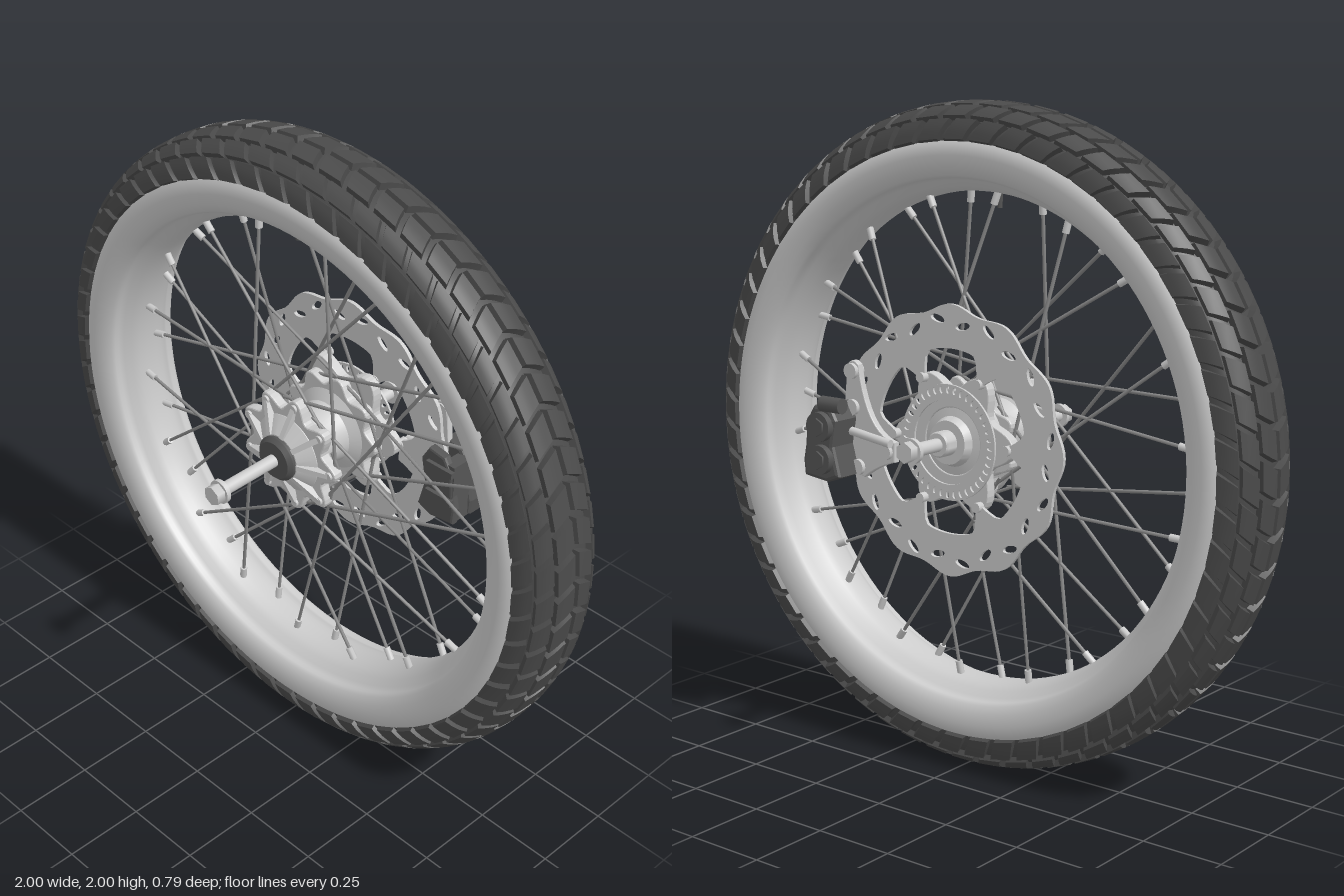
import * as THREE from 'three';
import { mergeGeometries, toCreasedNormals } from 'three/addons/utils/BufferGeometryUtils.js';

const grey = new THREE.MeshStandardMaterial({ color: 0xcccccc });
const rubber = new THREE.MeshStandardMaterial({ color: 0x4a4a4a });
const dark = new THREE.MeshStandardMaterial({ color: 0x555555 });
const steel = new THREE.MeshStandardMaterial({ color: 0x8a8a8a });
const TAU = Math.PI * 2;
const V = (x, y, z) => new THREE.Vector3(x, y, z);

function add(parent, name, geo, mat = grey, x = 0, y = 0, z = 0) {
  const m = new THREE.Mesh(geo, mat);
  m.name = name;
  m.position.set(x, y, z);
  parent.add(m);
  return m;
}

// Revolve [radius, z] points about the z axis (rising z faces outward)
function turned(points, segments = 48, crease = 0.6) {
  const g = new THREE.LatheGeometry(points.map(([r, z]) => new THREE.Vector2(r, z)), segments);
  return toCreasedNormals(g.rotateX(Math.PI / 2), crease);
}

// Cylinder along z between two depths
function rod(r, z0, z1, sides = 24) {
  return new THREE.CylinderGeometry(r, r, z1 - z0, sides).rotateX(Math.PI / 2).translate(0, 0, (z0 + z1) / 2);
}

// Rod between two arbitrary points
function strut(a, b, r, sides = 6) {
  const d = b.clone().sub(a);
  const q = new THREE.Quaternion().setFromUnitVectors(V(0, 1, 0), d.clone().normalize());
  const mid = a.clone().add(b).multiplyScalar(0.5);
  return new THREE.CylinderGeometry(r, r, d.length(), sides).applyQuaternion(q).translate(mid.x, mid.y, mid.z);
}

// Closed outline from a radius rule
function outline(rule, n, Type = THREE.Shape) {
  const pts = [];
  for (let i = 0; i < n; i++) {
    const a = (i / n) * TAU, r = rule(a);
    pts.push(new THREE.Vector2(r * Math.cos(a), r * Math.sin(a)));
  }
  return new Type(pts);
}

// Plate between two depths, with a small bevel
function plate(shape, z0, z1, bevel = 0) {
  return new THREE.ExtrudeGeometry(shape, {
    depth: z1 - z0 - 2 * bevel, bevelEnabled: bevel > 0, bevelSize: bevel, bevelThickness: bevel,
    bevelSegments: 2, bevelOffset: -bevel, curveSegments: 10,
  }).translate(0, 0, z0 + bevel);
}

const polygon = (pts) => new THREE.Shape(pts.map(([x, y]) => new THREE.Vector2(x, y)));

// Tyre cross-section: u runs -1..1 across, h is 0 on the carcass and 1 on the tread
function tyreSection(u, h) {
  const a = (u * Math.PI) / 2;
  const s = Math.pow(Math.abs(Math.sin(a)), 0.8) * Math.sign(a);
  const c = Math.pow(Math.max(0, Math.cos(a)), 0.8);
  return [0.87 + (0.109 + 0.02 * h) * c, (0.134 + 0.013 * h) * s];
}

// One tread block, bent on to the tyre and sheared into a chevron
function treadBlock(u0, u1, theta, span, shear) {
  const g = new THREE.BoxGeometry(1, 1, 1, 3, 1, 1);
  const p = g.attributes.position;
  for (let i = 0; i < p.count; i++) {
    const h = p.getY(i) + 0.5;
    const taper = 1 - 0.1 * h;
    const u = (u0 + u1) / 2 + p.getX(i) * (u1 - u0) * taper;
    const t = theta + p.getZ(i) * span * taper - shear * Math.abs(u);
    const [r, z] = tyreSection(u, h);
    p.setXYZ(i, r * Math.cos(t), r * Math.sin(t), z);
  }
  g.computeVertexNormals();
  return g;
}

function addTyre(wheel) {
  const section = [];
  for (let i = 0; i <= 28; i++) section.push(tyreSection(-1 + i / 14, 0));
  add(wheel, 'tyreCarcass', turned(section, 120, 1), rubber);
  const blocks = [], count = 60, pitch = TAU / count;
  for (let i = 0; i < count; i++) {
    const t = i * pitch;
    for (const [a, b, offset, span] of [[0.005, 0.27, 0, 0.84], [0.3, 0.59, 0.5, 0.86], [0.62, 0.95, 0.1, 0.82]]) {
      blocks.push(treadBlock(a, b, t + offset * pitch, span * pitch, 0.13));
      blocks.push(treadBlock(-b, -a, t + offset * pitch, span * pitch, 0.13));
    }
  }
  add(wheel, 'treadBlocks', mergeGeometries(blocks), rubber);
}

function addRim(wheel) {
  const half = [[0.89, 0.13], [0.875, 0.142], [0.845, 0.146], [0.81, 0.138], [0.787, 0.126], [0.779, 0.115],
    [0.781, 0.1], [0.772, 0.085], [0.755, 0.068], [0.744, 0.045], [0.738, 0.02]];
  const mirrored = half.map(([r, z]) => [r, -z]).reverse();
  add(wheel, 'rim', turned([...half, ...mirrored], 120, 1));
  add(wheel, 'valveStem', strut(V(-0.05, 0.75, 0.01), V(-0.047, 0.69, 0.01), 0.008, 10), dark);
}

// Crossed tangential spokes with nipples at the rim
function addSpokes(wheel, hubX, hubY) {
  const spokes = [], nipples = [];
  for (let i = 0; i < 36; i++) {
    const front = i % 2 === 0;
    const a = ((i + 0.5) / 36) * TAU;
    const b = a + (Math.floor(i / 2) % 2 ? 1 : -1) * 1.35;
    const r = front ? 0.175 : 0.165;
    const hub = V(hubX + r * Math.cos(b), hubY + r * Math.sin(b), front ? 0.075 : -0.105);
    const rim = V(0.745 * Math.cos(a), 0.745 * Math.sin(a), front ? 0.02 : -0.02);
    spokes.push(strut(hub, rim, 0.0055));
    nipples.push(strut(rim.clone().lerp(hub, 0.06), rim, 0.011, 8));
  }
  add(wheel, 'spokes', mergeGeometries(spokes), steel);
  add(wheel, 'spokeNipples', mergeGeometries(nipples));
}

function addHub(hub) {
  add(hub, 'hubBarrel', turned([[0, -0.2], [0.065, -0.2], [0.075, -0.175], [0.105, -0.17], [0.11, -0.15], [0.145, -0.145],
    [0.15, -0.1], [0.1, -0.07], [0.085, 0], [0.1, 0.05], [0.13, 0.07], [0.125, 0.09], [0.075, 0.125], [0, 0.125]]));
  const star = (r, k) => outline((a) => r + k * Math.cos(9 * a), 108);
  add(hub, 'frontFlange', plate(star(0.172, 0.024), 0.055, 0.088, 0.005));
  add(hub, 'backFlange', plate(star(0.168, 0.018), -0.125, -0.09, 0.005));
  // Raised ribs running out to each flange lobe
  const ribs = [], bolts = [];
  for (let i = 0; i < 9; i++) {
    const rib = plate(polygon([[0.06, 0.06], [0.185, 0.06], [0.18, 0.093], [0.075, 0.13]]), -0.008, 0.008);
    ribs.push(rib.rotateX(Math.PI / 2).rotateZ((i / 9) * TAU));
    const a = (i / 9) * TAU;
    bolts.push(rod(0.013, 0.08, 0.096, 10).translate(0.172 * Math.cos(a), 0.172 * Math.sin(a), 0));
  }
  add(hub, 'hubRibs', mergeGeometries(ribs));
  add(hub, 'flangeBosses', mergeGeometries(bolts));
  add(hub, 'frontSeal', turned([[0, 0.1], [0.07, 0.1], [0.072, 0.135], [0.06, 0.148], [0, 0.148]], 32), dark);

  // Axle with flanged nuts and spacer
  add(hub, 'axle', rod(0.02, -0.395, 0.395));
  add(hub, 'rearSpacer', turned([[0.02, -0.245], [0.034, -0.245], [0.038, -0.24], [0.038, -0.19], [0.05, -0.19], [0.05, -0.17]], 32));
  for (const s of [1, -1]) {
    const nut = new THREE.Group();
    nut.name = s > 0 ? 'frontNut' : 'rearNut';
    if (s < 0) nut.rotation.y = Math.PI;
    add(nut, 'nutFlange', rod(0.037, 0.352, 0.366, 32));
    add(nut, 'nutHex', rod(0.031, 0.366, 0.395, 6));
    hub.add(nut);
  }
}

function addDisc(hub) {
  // Wavy brake rotor with inward mounting tabs and slots
  const rotor = outline((a) => 0.394 + 0.01 * Math.cos(12 * a), 144);
  rotor.holes.push(outline((a) => 0.275 - 0.075 * Math.max(0, Math.cos(6 * a)) ** 3, 120, THREE.Path));
  for (let i = 0; i < 24; i++) {
    const a = ((i + 0.5) / 24) * TAU, r = i % 2 ? 0.362 : 0.345;
    const slot = new THREE.Path();
    slot.absellipse(r * Math.cos(a), r * Math.sin(a), 0.011, 0.026, 0, TAU, false, a + (i % 2 ? 0.35 : -0.35));
    rotor.holes.push(slot);
  }
  add(hub, 'brakeDisc', plate(rotor, -0.186, -0.174));

  // Carrier, slotted sensor ring and tab bolts
  const carrier = outline((a) => 0.185 + 0.035 * Math.cos(6 * a), 96);
  carrier.holes.push(outline(() => 0.1, 48, THREE.Path));
  add(hub, 'discCarrier', plate(carrier, -0.174, -0.14, 0.003));
  const ring = outline(() => 0.172, 72);
  ring.holes.push(outline(() => 0.125, 48, THREE.Path));
  for (let i = 0; i < 40; i++) {
    const a = (i / 40) * TAU, hole = new THREE.Path();
    hole.absellipse(0.155 * Math.cos(a), 0.155 * Math.sin(a), 0.011, 0.006, 0, TAU, false, a);
    ring.holes.push(hole);
  }
  add(hub, 'sensorRing', plate(ring, -0.197, -0.19));
  const bolts = [];
  for (let i = 0; i < 6; i++) {
    const a = (i / 6) * TAU;
    bolts.push(rod(0.015, -0.198, -0.17, 12).translate(0.208 * Math.cos(a), 0.208 * Math.sin(a), 0));
  }
  add(hub, 'discBolts', mergeGeometries(bolts));
}

function addCaliper(root) {
  const caliper = new THREE.Group();
  caliper.name = 'brakeCaliper';
  root.add(caliper);
  const body = polygon([[0.31, 0.89], [0.36, 0.87], [0.45, 0.88], [0.455, 0.93], [0.445, 0.98], [0.44, 1.05],
    [0.41, 1.1], [0.35, 1.11], [0.32, 1.06], [0.335, 0.98]]);
  add(caliper, 'outerBody', plate(body, -0.315, -0.205, 0.012), dark);
  add(caliper, 'innerBody', plate(body, -0.165, -0.135, 0.008), dark);
  add(caliper, 'bridge', new THREE.BoxGeometry(0.045, 0.2, 0.12), dark, 0.423, 0.98, -0.2);
  for (const y of [0.94, 1.04]) {
    add(caliper, 'pistonHousing', rod(0.045, -0.335, -0.3), dark, 0.375, y);
    add(caliper, 'pistonCap', rod(0.028, -0.342, -0.33, 6), dark, 0.375, y);
    add(caliper, 'bodyRib', new THREE.BoxGeometry(0.1, 0.02, 0.015), dark, 0.4, y + 0.02, -0.13);
  }
  add(caliper, 'hoseFitting', strut(V(0.29, 1.11, -0.315), V(0.37, 1.11, -0.315), 0.024, 12), dark);
  add(caliper, 'slidePin', strut(V(0.17, 1.0, -0.24), V(0.33, 1.02, -0.235), 0.013, 12));
  // Mounting bracket reaching toward the hub
  const bracket = new THREE.Shape();
  bracket.moveTo(0.31, 1.22);
  bracket.quadraticCurveTo(0.335, 1.245, 0.355, 1.215);
  bracket.lineTo(0.365, 1.1);
  bracket.lineTo(0.35, 0.9);
  bracket.lineTo(0.29, 0.88);
  bracket.quadraticCurveTo(0.24, 0.92, 0.17, 0.94);
  bracket.lineTo(0.17, 1.0);
  bracket.quadraticCurveTo(0.28, 1.02, 0.31, 1.22);
  add(caliper, 'bracket', plate(bracket, -0.222, -0.2, 0.003));
  for (const [x, y] of [[0.333, 1.2], [0.33, 1.09], [0.31, 0.91], [0.2, 0.97]]) {
    add(caliper, 'bracketBoss', rod(0.024, -0.235, -0.195, 16), grey, x, y);
  }
}

export function createModel() {
  const root = new THREE.Group();
  root.name = 'spokedWheel';
  const wheel = new THREE.Group();
  wheel.name = 'wheel';
  wheel.position.set(0, 1, -0.012);
  wheel.rotation.set(0.01, 0.0125, 0);
  root.add(wheel);
  const hub = new THREE.Group();
  hub.name = 'hub';
  hub.position.set(-0.012, 0.02, 0.01);
  wheel.add(hub);
  addTyre(wheel);
  addRim(wheel);
  addSpokes(wheel, hub.position.x, hub.position.y);
  addHub(hub);
  addDisc(hub);
  addCaliper(root);
  return root;
}
